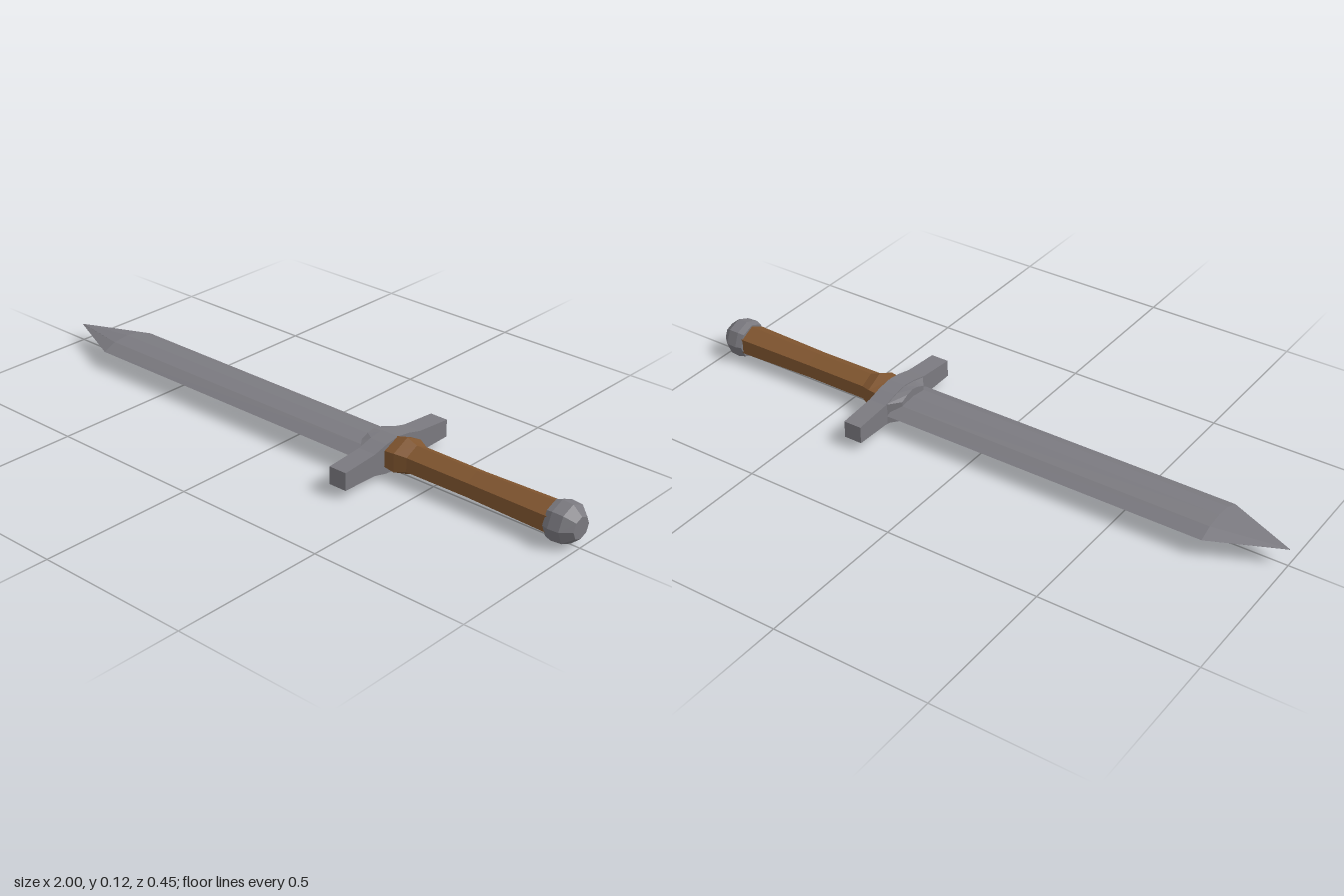
import * as THREE from 'three';

const steel = new THREE.MeshStandardMaterial({ color: 0x7b7a80, flatShading: true });
steel.name = 'steel';
const wood = new THREE.MeshStandardMaterial({ color: 0x80552f, flatShading: true });
wood.name = 'wood';

// Closed solid along x from rings of [z, y], ordered from +y towards +z
function loft(name, material, sections) {
  const pos = [];
  const put = (...pts) => pts.forEach(p => pos.push(p[0], p[1], p[2]));
  const rings = sections.map(([x, ring]) => ring.map(([z, y]) => [x, y, z]));
  const n = rings[0].length;
  for (let i = 0; i < rings.length - 1; i++) {
    for (let j = 0; j < n; j++) {
      const k = (j + 1) % n;
      const a = rings[i][j], b = rings[i][k], c = rings[i + 1][j], d = rings[i + 1][k];
      put(a, b, c, b, d, c);
    }
  }
  const cap = (ring, flip) => {
    const mid = [0, 1, 2].map(c => ring.reduce((s, p) => s + p[c], 0) / n);
    ring.forEach((p, j) => {
      const q = ring[(j + 1) % n];
      if (flip) put(mid, q, p); else put(mid, p, q);
    });
  };
  cap(rings[0], true);
  cap(rings[rings.length - 1], false);
  const geo = new THREE.BufferGeometry();
  geo.setAttribute('position', new THREE.Float32BufferAttribute(pos, 3));
  geo.computeVertexNormals();
  const mesh = new THREE.Mesh(geo, material);
  mesh.name = name;
  return mesh;
}

// Regular ring with a corner on top
function polygon(sides, rz, ry, cy) {
  return Array.from({ length: sides }, (_, i) => {
    const a = (i / sides) * Math.PI * 2;
    return [Math.sin(a) * rz, cy + Math.cos(a) * ry];
  });
}

// Ring mirrored across z = 0 from its +z half, listed top to bottom
function mirrored(half) {
  const other = half.filter(p => p[0] > 0).reverse().map(([z, y]) => [-z, y]);
  return [...half, ...other];
}

export function createModel() {
  const sword = new THREE.Group();
  sword.name = 'sword';

  // Blade with bevelled edges and a pointed tip
  const bladeRing = (w, h) => mirrored([
    [0, 0.058 + h], [w * 0.55, 0.058 + h * 0.75], [w, 0.058],
    [w * 0.55, 0.058 - h * 0.75], [0, 0.058 - h],
  ]);
  sword.add(loft('blade', steel, [
    [-1, bladeRing(0.001, 0.001)],
    [-0.78, bladeRing(0.1, 0.026)],
    [0.3, bladeRing(0.1, 0.028)],
  ]));

  // Crossguard, tallest in the middle
  const guardRing = mirrored([
    [0, 0.115], [0.05, 0.108], [0.1, 0.095], [0.225, 0.085],
    [0.225, 0.029], [0.1, 0.026], [0.05, 0.014], [0, 0.009],
  ]);
  sword.add(loft('crossguard', steel, [[0.305, guardRing], [0.365, guardRing]]));

  // Raised block where the guard meets the blade
  const blockRing = w => mirrored([
    [0, 0.112], [w * 0.5, 0.106], [w, 0.094],
    [w, 0.027], [w * 0.5, 0.016], [0, 0.012],
  ]);
  sword.add(loft('guardBlock', steel, [[0.275, blockRing(0.055)], [0.31, blockRing(0.098)]]));

  // Hexagonal wooden grip with a flared collar
  const grip = (rz, ry) => polygon(6, rz / Math.cos(Math.PI / 6), ry, 0.065);
  sword.add(loft('grip', wood, [
    [0.36, grip(0.058, 0.05)],
    [0.4, grip(0.06, 0.059)],
    [0.435, grip(0.045, 0.045)],
    [0.65, grip(0.044, 0.044)],
    [0.925, grip(0.05, 0.05)],
  ]));

  // Faceted pommel
  const knob = r => polygon(8, r * 1.05, r, 0.064);
  sword.add(loft('pommel', steel, [
    [0.915, knob(0.056)],
    [0.935, knob(0.062)],
    [0.97, knob(0.06)],
    [1, knob(0.034)],
  ]));

  return sword;
}
